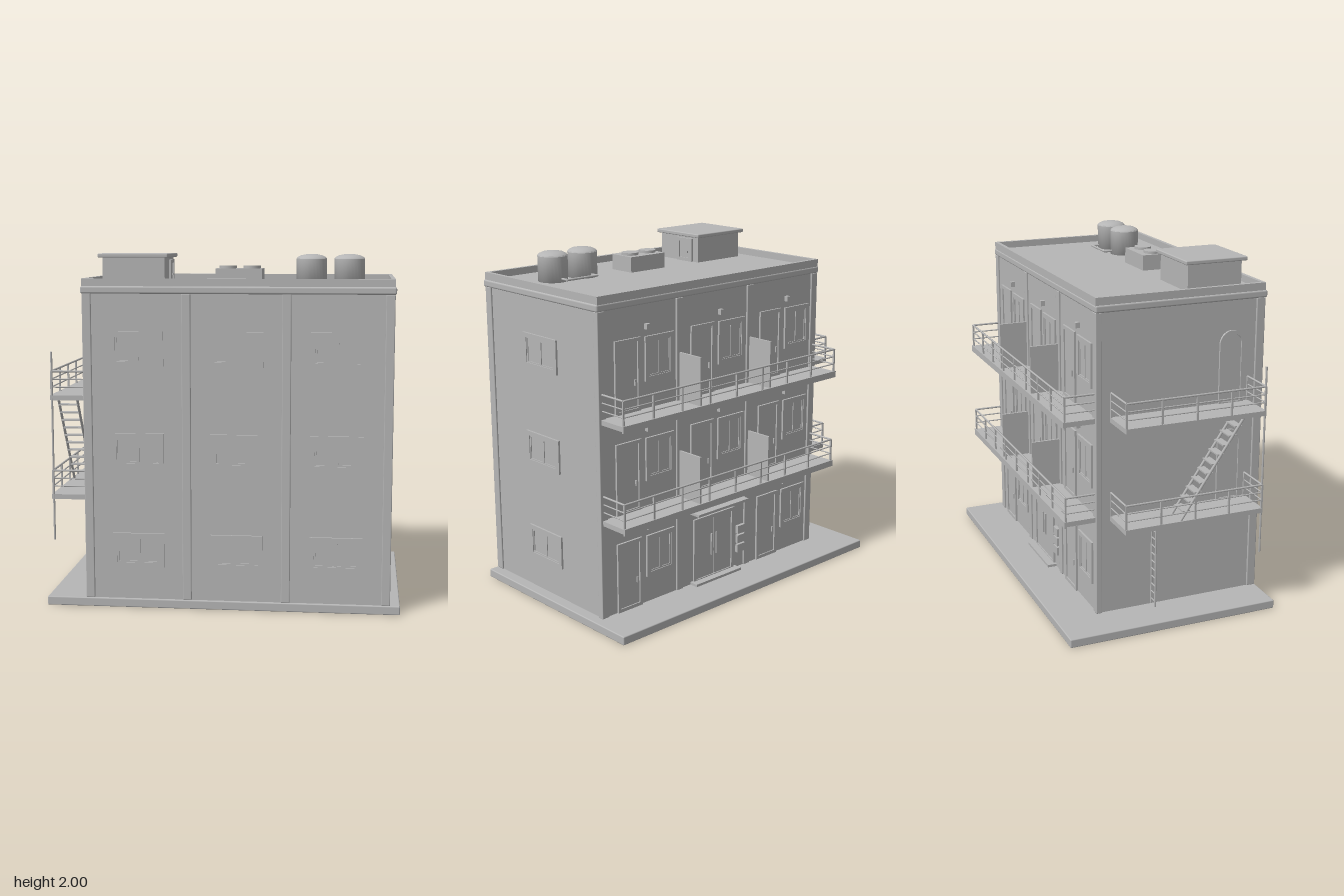
import * as THREE from 'three';
import { RoundedBoxGeometry } from 'three/addons/geometries/RoundedBoxGeometry.js';

const plaster = new THREE.MeshStandardMaterial({ color: 0xb6b6b6 });
plaster.name = 'plain grey';

function add(parent, name, geo, x = 0, y = 0, z = 0) {
  const m = new THREE.Mesh(geo, plaster);
  m.name = name;
  m.position.set(x, y, z);
  parent.add(m);
  return m;
}

// box given by its minimum and maximum on each axis
function box(parent, name, x0, x1, y0, y1, z0, z1, r = 0) {
  const s = [x1 - x0, y1 - y0, z1 - z0];
  const geo = r ? new RoundedBoxGeometry(...s, 2, r) : new THREE.BoxGeometry(...s);
  return add(parent, name, geo, (x0 + x1) / 2, (y0 + y1) / 2, (z0 + z1) / 2);
}

// round bar between two points
function bar(parent, name, a, b, r = 0.005) {
  const p = new THREE.Vector3(...a), q = new THREE.Vector3(...b);
  const m = add(parent, name, new THREE.CylinderGeometry(r, r, p.distanceTo(q), 8));
  m.position.copy(p).lerp(q, 0.5);
  m.quaternion.setFromUnitVectors(new THREE.Vector3(0, 1, 0), q.sub(p).normalize());
  return m;
}

// rectangular ring of the given border, extruded along +z
function ring(w, h, border, depth) {
  const rect = (T, a, b) => {
    const s = new T();
    s.moveTo(-a, -b); s.lineTo(a, -b); s.lineTo(a, b); s.lineTo(-a, b); s.closePath();
    return s;
  };
  const s = rect(THREE.Shape, w / 2, h / 2);
  s.holes.push(rect(THREE.Path, w / 2 - border, h / 2 - border));
  return new THREE.ExtrudeGeometry(s, { depth, bevelEnabled: false });
}

function place(parent, name, x, y, z, turn) {
  const g = new THREE.Group();
  g.name = name;
  g.position.set(x, y, z);
  g.rotation.y = turn;
  parent.add(g);
  return g;
}

// framed window with two sashes, centred on its origin and facing +z
function windowUnit(parent, x, y, z, turn, w, h) {
  const g = place(parent, 'window', x, y, z, turn);
  add(g, 'windowFrame', ring(w, h, 0.026, 0.012));
  box(g, 'windowPane', -w / 2 + 0.02, w / 2 - 0.02, -h / 2 + 0.02, h / 2 - 0.02, -0.004, 0.002);
  const sw = (w - 0.052) / 2;
  for (const s of [-1, 1]) add(g, 'windowSash', ring(sw, h - 0.052, 0.008, 0.007), s * sw / 2, 0, 0);
}

// panelled door standing on its origin and facing +z
function doorUnit(parent, x, y, z, turn, w, h, leaves = 1) {
  const g = place(parent, 'door', x, y, z, turn);
  add(g, 'doorFrame', ring(w, h, 0.02, 0.012), 0, h / 2, 0);
  const lw = (w - 0.04) / leaves;
  for (let i = 0; i < leaves; i++) {
    const cx = -w / 2 + 0.02 + lw * (i + 0.5);
    box(g, 'doorLeaf', cx - lw / 2 + 0.002, cx + lw / 2 - 0.002, 0.01, h - 0.02, -0.004, 0.005);
    const side = i ? -1 : 1;
    box(g, 'doorHandle', cx + side * (lw / 2 - 0.02) - 0.004, cx + side * (lw / 2 - 0.02) + 0.004,
      h * 0.36, h * (leaves > 1 ? 0.7 : 0.44), 0.005, 0.014);
  }
}

// three-bar railing along a list of floor points
function railing(parent, pts, y, spacing = 0.21) {
  const g = place(parent, 'railing', 0, y, 0, 0);
  for (let i = 0; i + 1 < pts.length; i++) {
    const [ax, az] = pts[i], [bx, bz] = pts[i + 1];
    for (const h of [0.05, 0.095, 0.14]) bar(g, 'rail', [ax, h, az], [bx, h, bz], h > 0.1 ? 0.006 : 0.004);
    const n = Math.max(1, Math.round(Math.hypot(bx - ax, bz - az) / spacing));
    for (let k = 0; k <= n; k++) {
      const x = ax + (bx - ax) * k / n, z = az + (bz - az) * k / n;
      box(g, 'railPost', x - 0.005, x + 0.005, 0, 0.14, z - 0.005, z + 0.005);
    }
  }
}

export function createModel() {
  const model = new THREE.Group();
  model.name = 'apartmentBlock';
  const X0 = -0.765, X1 = 0.935, Z0 = -0.375, Z1 = 0.605, CX = 0.085;
  const floors = [0.05, 0.625, 1.195];
  const bays = [0.64, 0.085, -0.47];

  // ground slab, walls, cornice and parapet
  box(model, 'groundSlab', -1, 1, 0, 0.05, -0.625, 0.62, 0.006);
  box(model, 'walls', X0, X1, 0.05, 1.82, Z0, Z1);
  box(model, 'cornice', -0.782, 0.952, 1.777, 1.818, -0.388, 0.625, 0.01);
  const parapet = add(model, 'parapet', ring(1.72, 1.0, 0.022, 0.06), CX, 1.8, 0.115);
  parapet.rotation.x = -Math.PI / 2;

  // pilasters on the front and back
  for (const [a, b] of [[-0.775, -0.725], [-0.22, -0.17], [0.335, 0.385], [0.895, 0.945]]) {
    box(model, 'frontPilaster', a, b, 0.05, 1.778, 0.565, 0.617, 0.005);
    box(model, 'backPilaster', a, b, 0.05, 1.778, -0.385, -0.35, 0.004);
  }

  // front and side windows
  for (const y of [0.333, 0.903, 1.473]) {
    for (const x of bays) windowUnit(model, x, y, Z1, 0, 0.295, 0.195);
    windowUnit(model, X1, y, 0.12, Math.PI / 2, 0.295, 0.195);
  }

  // back doors, windows and wall lamps
  floors.forEach((f, i) => bays.forEach((x, j) => {
    box(model, 'wallLamp', x - 0.05, x - 0.024, f + 0.445, f + 0.475, Z0 - 0.025, Z0);
    if (i === 0 && j === 1) return;
    doorUnit(model, x + 0.1, f, Z0, Math.PI, 0.18, 0.41);
    windowUnit(model, x - 0.13, f + 0.28, Z0, Math.PI, 0.21, 0.25);
  }));

  // main entrance with step, canopy and mailboxes
  doorUnit(model, 0.085, 0.05, Z0, Math.PI, 0.33, 0.4, 2);
  box(model, 'entranceStep', -0.1, 0.27, 0.05, 0.065, -0.43, Z0);
  box(model, 'entranceCanopy', -0.12, 0.29, 0.5, 0.515, -0.467, Z0);
  for (let r = 0; r < 3; r++) {
    box(model, 'mailbox', -0.165, -0.105, 0.15 + r * 0.06, 0.2 + r * 0.06, Z0 - 0.02, Z0);
  }

  // back balconies with dividers
  for (const f of floors.slice(1)) {
    box(model, 'balconySlab', -0.76, 0.93, f - 0.025, f + 0.003, -0.56, Z0);
    box(model, 'balconyLip', -0.762, 0.932, f - 0.032, f + 0.006, -0.566, -0.556);
    railing(model, [[-0.752, -0.38], [-0.752, -0.555], [0.922, -0.555], [0.922, -0.38]], f);
    for (const x of [-0.195, 0.36]) box(model, 'balconyDivider', x - 0.006, x + 0.006, f, f + 0.277, -0.552, Z0);
  }

  // fire escape platforms and arched doors
  for (const f of floors.slice(1)) {
    box(model, 'escapePlatform', -0.985, X0, f - 0.025, f + 0.003, -0.3, 0.53);
    railing(model, [[-0.77, -0.295], [-0.978, -0.295], [-0.978, 0.525], [-0.77, 0.525]], f);
    const arch = new THREE.Shape();
    arch.moveTo(-0.075, 0); arch.lineTo(0.075, 0); arch.lineTo(0.075, 0.34);
    arch.absarc(0, 0.34, 0.075, 0, Math.PI); arch.closePath();
    const leaf = arch.clone();
    const hole = new THREE.Path();
    hole.moveTo(-0.057, 0.01); hole.lineTo(0.057, 0.01); hole.lineTo(0.057, 0.34);
    hole.absarc(0, 0.34, 0.057, 0, Math.PI); hole.closePath();
    arch.holes.push(hole);
    const g = place(model, 'archedDoor', X0, f, 0.42, -Math.PI / 2);
    add(g, 'archFrame', new THREE.ExtrudeGeometry(arch, { depth: 0.012, bevelEnabled: false, curveSegments: 10 }));
    add(g, 'archLeaf', new THREE.ExtrudeGeometry(leaf, { depth: 0.004, bevelEnabled: false, curveSegments: 10 }));
  }

  // sloping stair between the platforms
  for (const x of [-0.972, -0.862]) bar(model, 'stairStringer', [x, 0.628, 0.03], [x, 1.175, 0.4], 0.008);
  for (let i = 1; i < 11; i++) {
    const y = 0.628 + 0.547 * i / 11, z = 0.03 + 0.37 * i / 11;
    box(model, 'stairTread', -0.972, -0.862, y - 0.004, y + 0.004, z - 0.022, z + 0.022);
  }

  // drop ladder and corner pole
  for (const x of [-0.85, -0.795]) bar(model, 'ladderSide', [x, 0.07, -0.06], [x, 0.6, -0.06], 0.006);
  for (let i = 0; i < 11; i++) {
    const y = 0.1 + i * 0.047;
    bar(model, 'ladderRung', [-0.85, y, -0.06], [-0.795, y, -0.06], 0.004);
  }
  bar(model, 'escapePole', [-0.975, 0.36, 0.525], [-0.975, 1.445, 0.525], 0.006);

  // rooftop stair hut
  box(model, 'hutWalls', -0.675, -0.325, 1.8, 1.975, 0.19, 0.515);
  box(model, 'hutRoof', -0.698, -0.305, 1.972, 1.995, 0.168, 0.54, 0.006);
  doorUnit(model, -0.325, 1.82, 0.3, Math.PI / 2, 0.13, 0.14);

  // rooftop cooling unit
  box(model, 'coolingUnit', -0.06, 0.205, 1.82, 1.91, 0.2, 0.37);
  for (const x of [0.005, 0.14]) {
    add(model, 'coolingFan', new THREE.CylinderGeometry(0.05, 0.05, 0.02, 20), x, 1.915, 0.285);
  }

  // water tanks with domed lids and a joining pipe
  const profile = [[0, 0], [0.085, 0], [0.085, 0.145], [0.083, 0.15]].map(p => new THREE.Vector2(...p));
  const dome = [[0.086, 0.145], [0.08, 0.154], [0.06, 0.164], [0.03, 0.17], [0, 0.172]].map(p => new THREE.Vector2(...p));
  for (const x of [0.48, 0.693]) {
    add(model, 'waterTank', new THREE.LatheGeometry(profile, 28), x, 1.82, 0.31);
    add(model, 'tankDome', new THREE.LatheGeometry(dome, 28), x, 1.82, 0.31);
    bar(model, 'tankPipe', [x, 1.84, 0.25], [x, 1.84, 0.18], 0.007);
  }
  bar(model, 'joiningPipe', [0.475, 1.84, 0.18], [0.698, 1.84, 0.18], 0.007);

  return model;
}
